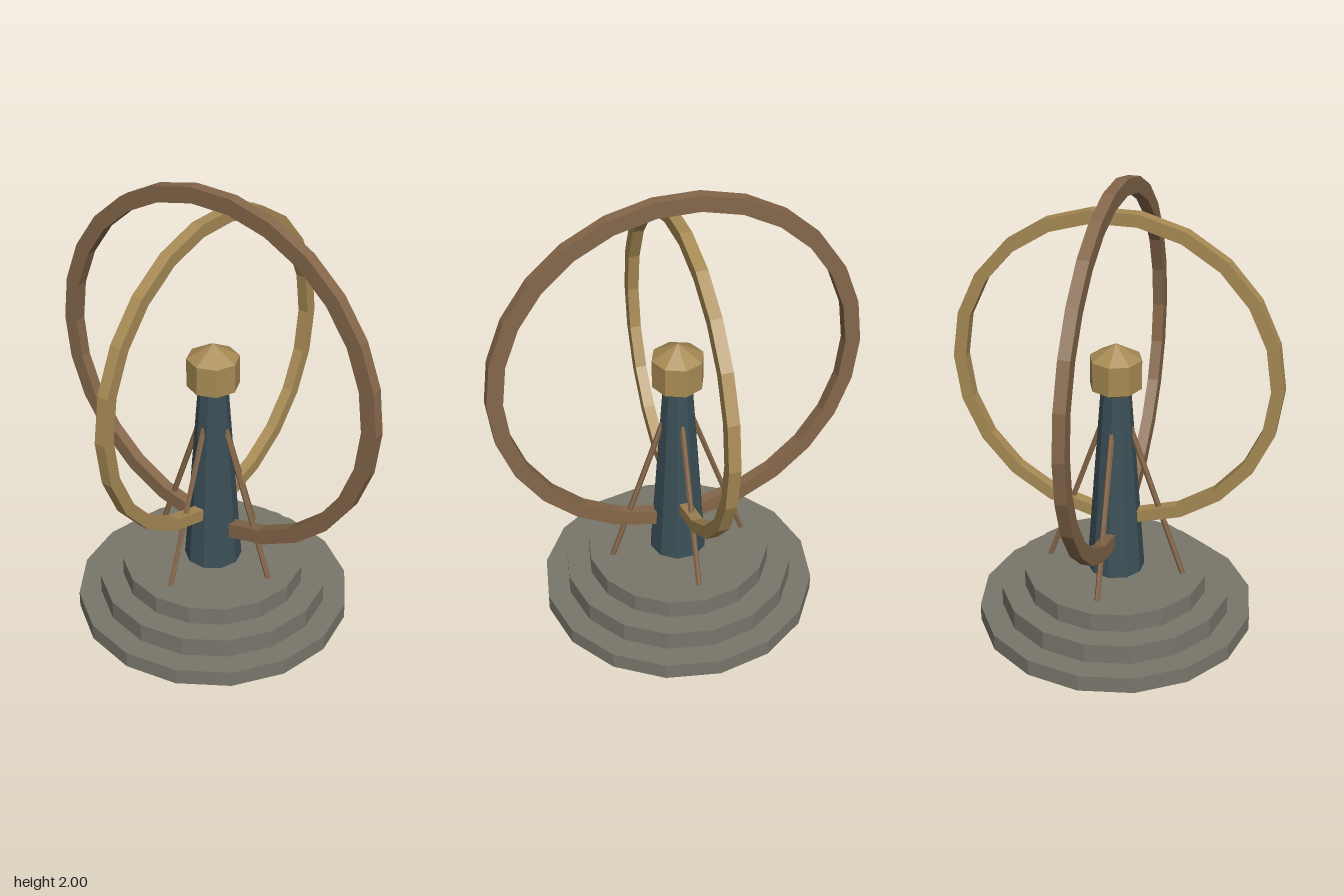
import * as THREE from 'three';

const paint = (name, color) => {
  const m = new THREE.MeshStandardMaterial({ color, flatShading: true });
  m.name = name;
  return m;
};

export function createModel() {
  const stone = paint('grey stone', 0x79766b);
  const slate = paint('blue slate', 0x3b4f57);
  const brass = paint('pale brass', 0xa88b55);
  const bronze = paint('brown bronze', 0x85674a);

  const model = new THREE.Group();
  model.name = 'ringMonument';
  const add = (name, geometry, material, y = 0) => {
    const mesh = new THREE.Mesh(geometry, material);
    mesh.name = name;
    mesh.position.y = y;
    model.add(mesh);
    return mesh;
  };

  // Stepped round plinth: radius, bottom, top
  [[0.61, 0, 0.075], [0.51, 0.075, 0.165], [0.407, 0.165, 0.25]].forEach(([r, y0, y1], i) => {
    add(`baseStep${i + 1}`, new THREE.CylinderGeometry(r, r, y1 - y0, 16), stone, (y0 + y1) / 2);
  });

  // Tapered ten-sided column, with corners on the x axis
  const column = new THREE.CylinderGeometry(0.062, 0.127, 0.9, 10).rotateY(Math.PI / 2);
  add('column', column, slate, 0.7);

  // Faceted finial at the centre of the rings
  const centreY = 1.196;
  add('finial', new THREE.SphereGeometry(0.13, 8, 3), brass, centreY);

  // Upright hoops of rectangular section
  const hoop = (inner, outer, half, sides) => {
    const section = [[outer, -half], [outer, half], [inner, half], [inner, -half], [outer, -half]];
    const points = section.map(([r, y]) => new THREE.Vector2(r, y));
    return new THREE.LatheGeometry(points, sides, Math.PI / 2).rotateX(Math.PI / 2);
  };
  add('outerRing', hoop(0.742, 0.81, 0.025, 26), bronze, centreY);
  add('innerRing', hoop(0.656, 0.71, 0.025, 22).rotateY(Math.PI / 2), brass, centreY);

  // Four slanted braces from the plinth to the column
  const foot = new THREE.Vector3(0.307, 0.24, 0);
  const head = new THREE.Vector3(0.047, 0.99, 0);
  const along = head.clone().sub(foot);
  const turn = new THREE.Quaternion().setFromUnitVectors(
    new THREE.Vector3(0, 1, 0), along.clone().normalize());
  const middle = foot.clone().add(head).multiplyScalar(0.5);
  for (let i = 0; i < 4; i++) {
    const rod = new THREE.CylinderGeometry(0.0125, 0.0125, along.length(), 6)
      .applyQuaternion(turn)
      .translate(middle.x, middle.y, middle.z)
      .rotateY(i * Math.PI / 2);
    add(`brace${i + 1}`, rod, bronze);
  }

  return model;
}
